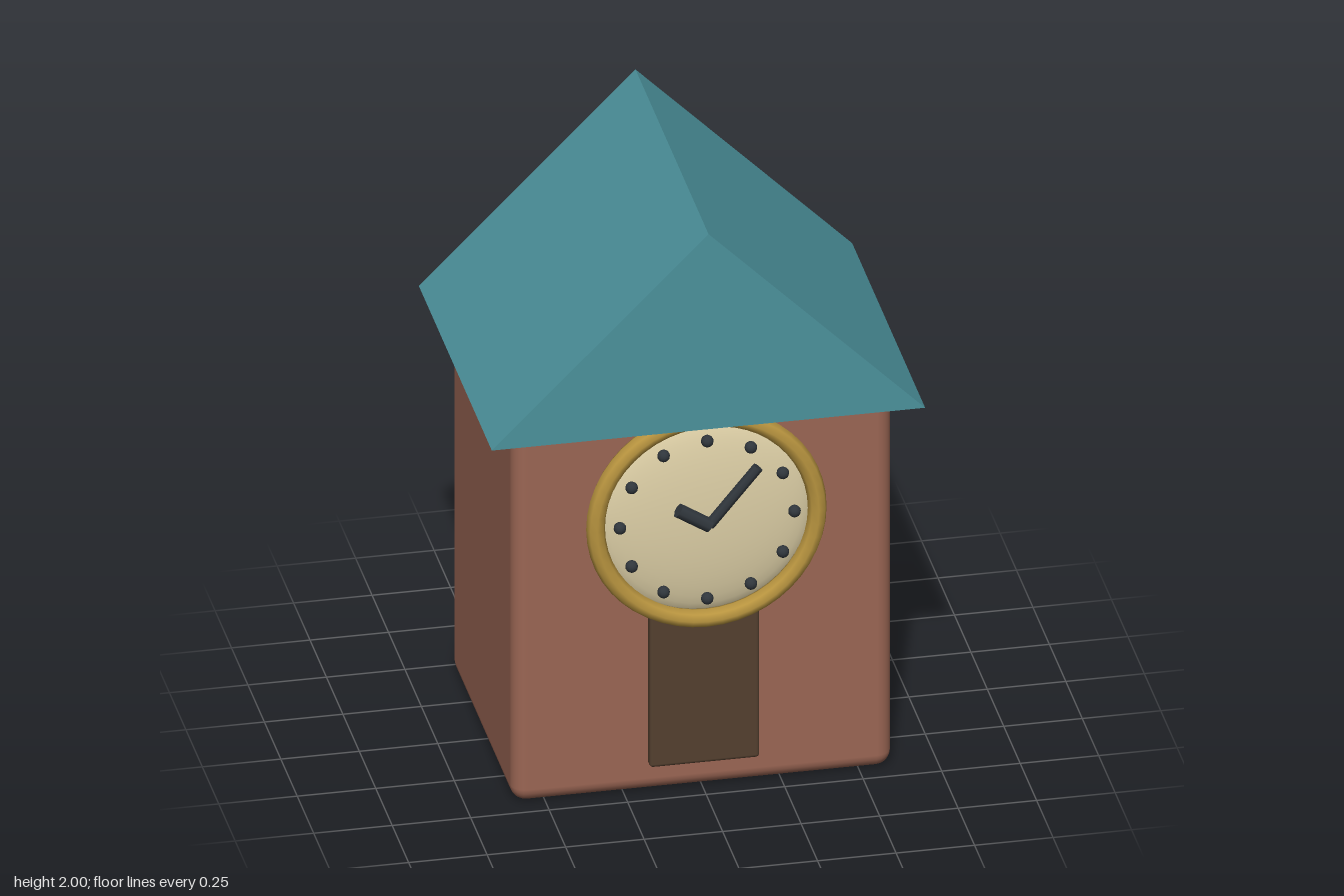
import * as THREE from 'three';
import { RoundedBoxGeometry } from 'three/addons/geometries/RoundedBoxGeometry.js';

const paint = (color) => new THREE.MeshStandardMaterial({ color });

export function createModel() {
  const model = new THREE.Group();
  const brown = paint(0x9b6654);
  const teal = paint(0x4c929c);
  const gold = paint(0xb8943f);
  const cream = paint(0xddcfa6);
  const wood = paint(0x54402f);
  const dark = paint(0x30363c);

  const add = (name, geometry, material, x, y, z, parent = model) => {
    const mesh = new THREE.Mesh(geometry, material);
    mesh.name = name;
    mesh.position.set(x, y, z);
    parent.add(mesh);
    return mesh;
  };

  // House body with softened edges
  add('body', new RoundedBoxGeometry(1.21, 1.33, 0.935, 3, 0.05), brown, 0, 0.665, -0.0175);

  // Gabled roof, a solid triangular prism
  const gable = new THREE.Shape([
    new THREE.Vector2(-0.69, 0),
    new THREE.Vector2(0.69, 0),
    new THREE.Vector2(0, 0.69),
  ]);
  const roof = new THREE.ExtrudeGeometry(gable, { depth: 1.11, bevelEnabled: false });
  add('roof', roof, teal, 0, 1.31, -0.575);

  // Door panel below the clock
  add('door', new RoundedBoxGeometry(0.35, 0.54, 0.05, 2, 0.012), wood, 0, 0.37, 0.455);

  // Clock: domed dial inside a gold ring
  const clock = new THREE.Group();
  clock.name = 'clock';
  clock.position.set(0, 0.98, 0);
  model.add(clock);
  const dial = new THREE.SphereGeometry(0.345, 40, 20).rotateX(Math.PI / 2).scale(1, 1, 0.06 / 0.345);
  add('dial', dial, cream, 0, 0, 0.465, clock);
  add('dialRing', new THREE.TorusGeometry(0.353, 0.03, 8, 48), gold, 0, 0, 0.503, clock);

  // Twelve hour dots
  const dot = new THREE.SphereGeometry(0.02, 12, 8);
  for (let i = 0; i < 12; i++) {
    const a = (i * Math.PI) / 6;
    add('hourDot', dot, dark, 0.278 * Math.sin(a), 0.278 * Math.cos(a), 0.516, clock);
  }

  // Hands run from the centre to their tip
  const addHand = (name, x, y, radius, z) => {
    const length = Math.hypot(x, y);
    const rod = new THREE.CylinderGeometry(radius, radius, length, 8);
    const hand = add(name, rod, dark, x / 2, y / 2 - 0.001, z, clock);
    hand.rotation.z = -Math.atan2(x, y);
  };
  addHand('hourHand', -0.1, 0.064, 0.024, 0.553);
  addHand('minuteHand', 0.155, 0.187, 0.018, 0.549);

  return model;
}
